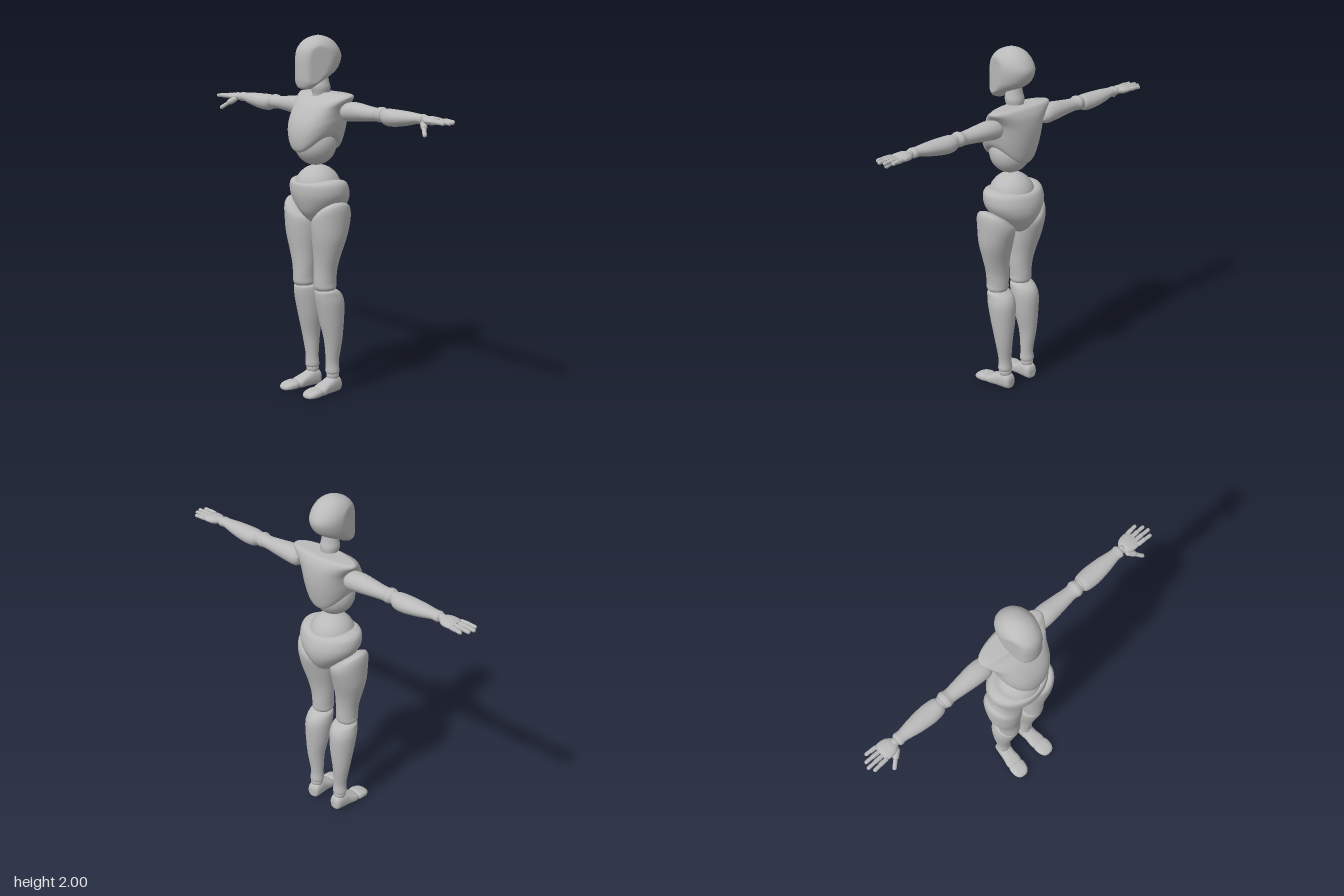
import * as THREE from 'three';

const grey = new THREE.MeshStandardMaterial({ color: 0xbababa });
grey.name = 'matte grey';

// Smooth body from stacked elliptical rings: [y, centreX, radiusX, zBack, zFront, tilt, hem]
function loft(rings, power = 1, n = 36, sub = 5) {
  const val = (i, k) => rings[Math.min(Math.max(i, 0), rings.length - 1)][k] ?? 0;
  const sections = [];
  for (let i = 0; i < rings.length - 1; i++) {
    for (let s = 0; s < sub + (i === rings.length - 2 ? 1 : 0); s++) {
      const t = s / sub;
      sections.push([0, 1, 2, 3, 4, 5, 6].map((k) => {
        const a = val(i - 1, k), b = val(i, k), c = val(i + 1, k), d = val(i + 2, k);
        return b + 0.5 * t * (c - a + t * (2 * a - 5 * b + 4 * c - d + t * (3 * (b - c) + d - a)));
      }));
    }
  }
  const bend = (v) => Math.sign(v) * Math.abs(v) ** power;
  const pos = [], idx = [];
  const addRing = ([y, cx, rx, zb, zf, tilt, hem]) => {
    const start = pos.length / 3;
    for (let j = 0; j < n; j++) {
      const c = Math.cos((j / n) * Math.PI * 2), s = Math.sin((j / n) * Math.PI * 2);
      pos.push(cx + rx * bend(c), y + tilt * c + hem * s * s, (zb + zf) / 2 + ((zf - zb) / 2) * bend(s));
    }
    return start;
  };
  sections.forEach(addRing);
  for (let i = 0; i < sections.length - 1; i++) {
    for (let j = 0; j < n; j++) {
      const a = i * n + j, b = i * n + ((j + 1) % n);
      idx.push(a, a + n, b, b, a + n, b + n);
    }
  }
  // End caps with their own vertices, so the rims stay sharp
  [sections[0], sections[sections.length - 1]].forEach((sec, top) => {
    const start = addRing(sec), centre = pos.length / 3;
    pos.push(sec[1], sec[0] + sec[6] / 2, (sec[3] + sec[4]) / 2);
    for (let j = 0; j < n; j++) {
      const a = start + j, b = start + ((j + 1) % n);
      idx.push(centre, top ? b : a, top ? a : b);
    }
  });
  const g = new THREE.BufferGeometry();
  g.setAttribute('position', new THREE.Float32BufferAttribute(pos, 3));
  g.setIndex(idx);
  g.computeVertexNormals();
  return g;
}

function add(parent, name, geometry, x = 0, y = 0, z = 0) {
  const m = new THREE.Mesh(geometry, grey);
  m.name = name;
  m.position.set(x, y, z);
  parent.add(m);
  return m;
}
const ball = (r) => new THREE.SphereGeometry(r, 32, 20);

// Rounded rod between two points
function rod(parent, name, from, to, r) {
  const a = new THREE.Vector3(...from), b = new THREE.Vector3(...to);
  const dir = b.clone().sub(a), mid = a.add(b).multiplyScalar(0.5);
  const m = add(parent, name, new THREE.CapsuleGeometry(r, Math.max(dir.length() - 2 * r, 0.002), 5, 12), mid.x, mid.y, mid.z);
  m.quaternion.setFromUnitVectors(new THREE.Vector3(0, 1, 0), dir.normalize());
}

function makeArm() {
  const arm = new THREE.Group();
  arm.position.set(0, 1.597, -0.03);
  const along = (rings) => loft(rings).rotateZ(-Math.PI / 2);
  add(arm, 'upperArm', along([
    [0.165, 0.005, 0.03, -0.04, 0.04], [0.19, 0.005, 0.05, -0.056, 0.056], [0.25, 0, 0.052, -0.058, 0.058],
    [0.33, 0, 0.044, -0.05, 0.05], [0.42, 0, 0.036, -0.04, 0.04], [0.455, -0.003, 0.041, -0.047, 0.047],
    [0.48, -0.003, 0.034, -0.038, 0.038]]));
  add(arm, 'elbow', ball(0.037), 0.488);
  add(arm, 'forearm', along([
    [0.488, 0.003, 0.034, -0.038, 0.038], [0.51, 0.006, 0.045, -0.05, 0.05], [0.57, 0.006, 0.045, -0.056, 0.056],
    [0.66, 0, 0.037, -0.048, 0.048], [0.74, -0.006, 0.026, -0.034, 0.034], [0.772, -0.006, 0.027, -0.036, 0.036],
    [0.785, -0.006, 0.02, -0.026, 0.026]]));
  add(arm, 'wrist', ball(0.024), 0.792, 0.005);
  add(arm, 'palm', along([
    [0.792, -0.004, 0.016, -0.026, 0.026], [0.82, -0.004, 0.023, -0.048, 0.045],
    [0.86, -0.004, 0.02, -0.055, 0.05], [0.886, -0.004, 0.013, -0.05, 0.045]]));
  // Fingers in two segments, little finger first
  [[-0.043, 0.95], [-0.015, 0.978], [0.012, 0.988], [0.039, 0.972]].forEach(([z, tip]) => {
    const joint = 0.88 + (tip - 0.88) * 0.52;
    rod(arm, 'finger', [0.872, 0.004, z], [joint + 0.006, 0.005, z * 1.08], 0.0125);
    rod(arm, 'fingertip', [joint - 0.006, 0.005, z * 1.08], [tip, 0.002, z * 1.15], 0.0105);
  });
  rod(arm, 'thumbBase', [0.8, -0.004, 0.025], [0.848, -0.035, 0.062], 0.017);
  rod(arm, 'thumbTip', [0.838, -0.03, 0.055], [0.882, -0.066, 0.09], 0.0115);
  return arm;
}

function makeLeg() {
  const leg = new THREE.Group();
  add(leg, 'thigh', loft([
    [0.595, 0.092, 0.045, 0.005, 0.1], [0.615, 0.092, 0.062, -0.008, 0.115], [0.65, 0.092, 0.062, -0.01, 0.118],
    [0.72, 0.095, 0.068, -0.012, 0.118], [0.8, 0.105, 0.08, -0.025, 0.125], [0.9, 0.115, 0.097, -0.055, 0.14],
    [0.99, 0.12, 0.1, -0.078, 0.147, 0.01], [1.04, 0.135, 0.085, -0.07, 0.14, 0.03],
    [1.07, 0.145, 0.06, -0.045, 0.115, 0.03], [1.085, 0.15, 0.02, 0.01, 0.07, 0.012]]));
  add(leg, 'knee', ball(0.053), 0.092, 0.605, 0.05);
  add(leg, 'shin', loft([
    [0.108, 0.09, 0.03, -0.033, 0.028], [0.122, 0.09, 0.042, -0.042, 0.037], [0.18, 0.09, 0.038, -0.038, 0.036],
    [0.3, 0.098, 0.05, -0.052, 0.052], [0.42, 0.095, 0.068, -0.062, 0.08], [0.52, 0.094, 0.076, -0.064, 0.102],
    [0.57, 0.092, 0.072, -0.048, 0.11], [0.595, 0.092, 0.065, -0.02, 0.108], [0.608, 0.092, 0.045, 0.005, 0.09]]));
  add(leg, 'ankle', ball(0.036), 0.09, 0.1, -0.004);
  // Foot and toe cap, turned slightly outward
  const foot = new THREE.Group();
  foot.name = 'foot';
  foot.position.x = 0.09;
  foot.rotation.y = 0.09;
  leg.add(foot);
  add(foot, 'heelAndArch', loft([
    [-0.052, 0, 0.02, -0.06, -0.015], [-0.04, 0, 0.036, -0.085, -0.003], [0, 0, 0.041, -0.097, 0],
    [0.05, 0, 0.043, -0.076, 0], [0.09, 0, 0.049, -0.058, 0], [0.115, 0, 0.045, -0.046, -0.003]], 0.8).rotateX(Math.PI / 2));
  add(foot, 'toeCap', loft([
    [0.112, 0, 0.044, -0.045, -0.003], [0.13, 0, 0.051, -0.05, 0], [0.17, 0, 0.048, -0.043, 0],
    [0.196, 0, 0.034, -0.031, -0.002], [0.206, 0, 0.014, -0.02, -0.008]], 0.8).rotateX(Math.PI / 2));
  return leg;
}

export function createModel() {
  const model = new THREE.Group();
  model.name = 'jointedMannequin';
  const body = new THREE.Group();
  body.name = 'body';
  body.rotation.y = -1.727;
  model.add(body);

  // Head, with the cheeks planed flat toward the face
  const head = loft([
    [1.712, 0, 0.03, 0.095, 0.14], [1.722, 0, 0.052, 0.08, 0.152], [1.75, 0, 0.077, 0.035, 0.16],
    [1.78, 0, 0.088, -0.03, 0.163], [1.82, 0, 0.096, -0.085, 0.164], [1.88, 0, 0.101, -0.112, 0.163],
    [1.93, 0, 0.095, -0.093, 0.15], [1.97, 0, 0.071, -0.057, 0.115], [1.992, 0, 0.037, -0.015, 0.07],
    [2.0, 0, 0.006, 0.02, 0.034]], 0.95, 48);
  const p = head.attributes.position;
  for (let i = 0; i < p.count; i++) {
    const limit = 0.098 - 0.3 * (p.getZ(i) - 0.02);
    p.setX(i, THREE.MathUtils.clamp(p.getX(i), -limit, limit));
  }
  head.computeVertexNormals();
  add(body, 'head', head);

  add(body, 'neck', loft([
    [1.65, 0, 0.055, -0.055, 0.06], [1.675, 0, 0.047, -0.042, 0.053], [1.715, 0, 0.054, -0.044, 0.062],
    [1.75, 0, 0.048, -0.036, 0.058], [1.79, 0, 0.04, -0.03, 0.05]]));

  // Chest shell, its hem dipping at the front and back
  add(body, 'chest', loft([
    [1.455, 0, 0.105, -0.07, 0.145, 0, -0.08], [1.46, 0, 0.126, -0.085, 0.172, 0, -0.09],
    [1.485, 0, 0.143, -0.1, 0.188, 0, -0.085], [1.53, 0, 0.155, -0.116, 0.192, 0, -0.068],
    [1.57, 0, 0.16, -0.126, 0.178, 0, -0.045], [1.61, 0, 0.17, -0.128, 0.145, 0, -0.025],
    [1.645, 0, 0.195, -0.122, 0.1, 0, -0.008], [1.67, 0, 0.213, -0.108, 0.05],
    [1.686, 0, 0.195, -0.095, 0.03], [1.69, 0, 0.11, -0.08, 0.03]], 0.92, 48));
  add(body, 'abdomen', ball(0.115), 0, 1.405, 0.045);
  add(body, 'waist', ball(0.13), 0, 1.162, 0.03);

  // Pelvis shell
  add(body, 'pelvis', loft([
    [0.96, 0, 0.03, -0.05, 0.05], [0.985, 0, 0.06, -0.085, 0.09], [1.03, 0, 0.108, -0.118, 0.13],
    [1.08, 0, 0.155, -0.136, 0.152], [1.13, 0, 0.183, -0.136, 0.165], [1.18, 0, 0.185, -0.122, 0.167, 0, -0.005],
    [1.208, 0, 0.17, -0.108, 0.162, 0, -0.015], [1.218, 0, 0.14, -0.092, 0.152, 0, -0.02]], 1, 48));

  // Limbs, mirrored left and right
  for (const [side, sign] of [['left', 1], ['right', -1]]) {
    const arm = makeArm(), leg = makeLeg();
    arm.name = side + 'Arm';
    leg.name = side + 'Leg';
    arm.scale.x = leg.scale.x = sign;
    body.add(arm, leg);
  }
  return model;
}
